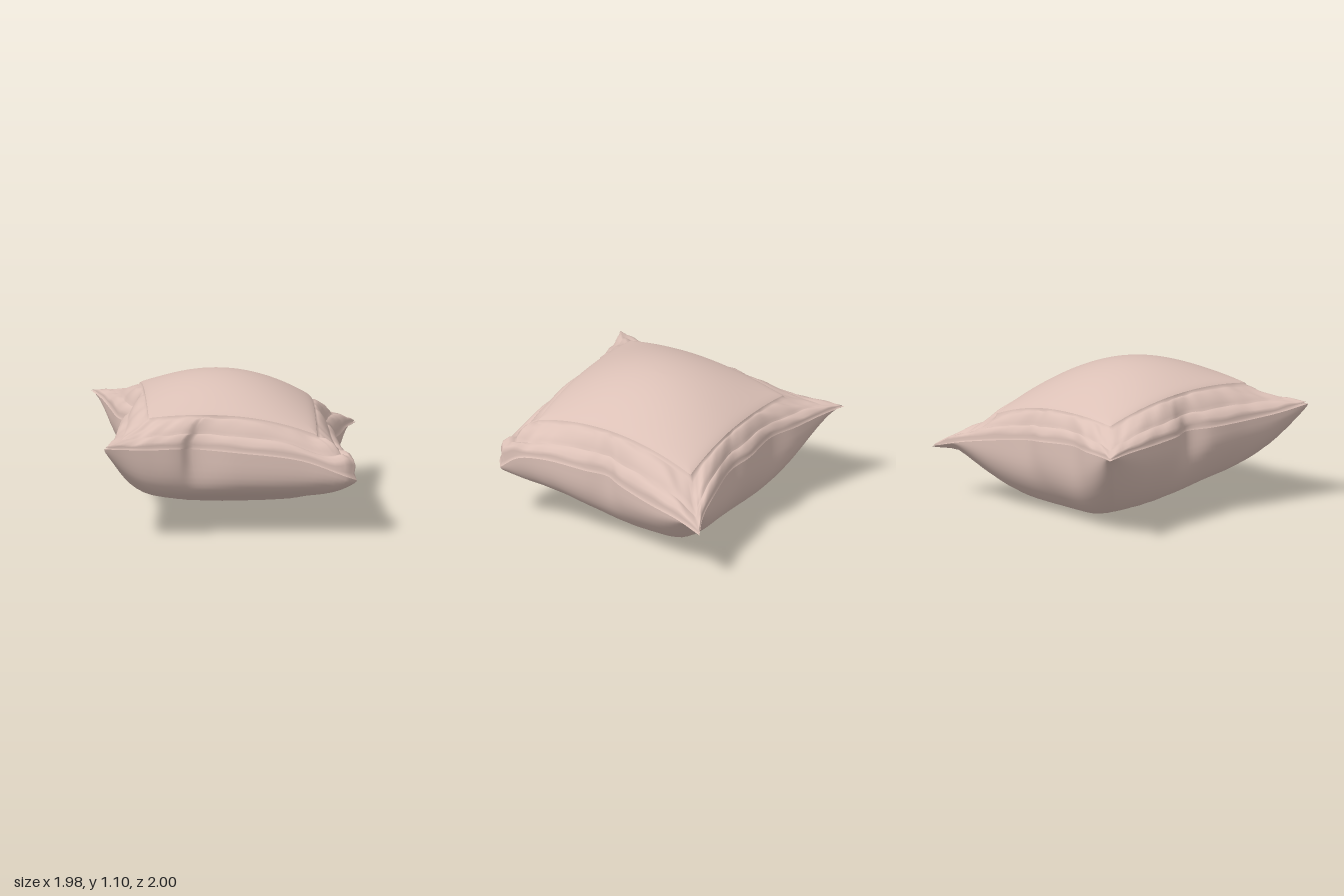
import * as THREE from 'three';

// Outer seam, one list of points per side, clockwise seen from above
const SEAM = [
  [[-0.99, 0.68, -1], [-0.8, 0.66, -0.92], [-0.55, 0.64, -0.85], [-0.33, 0.63, -0.78], [0, 0.6, -0.8],
    [0.2, 0.57, -0.77], [0.5, 0.52, -0.83], [0.8, 0.46, -0.91], [0.99, 0.41, -1]],
  [[0.99, 0.41, -1], [0.91, 0.44, -0.75], [0.85, 0.47, -0.45], [0.79, 0.52, -0.15], [0.76, 0.55, -0.03],
    [0.79, 0.56, 0.15], [0.82, 0.57, 0.5], [0.87, 0.55, 0.7], [0.91, 0.46, 0.83]],
  [[0.91, 0.46, 0.83], [0.83, 0.5, 0.88], [0.5, 0.62, 0.86], [0, 0.68, 0.82], [-0.32, 0.7, 0.77],
    [-0.42, 0.72, 0.84], [-0.65, 0.73, 0.9], [-0.85, 0.75, 0.95], [-0.99, 0.77, 1]],
  [[-0.99, 0.77, 1], [-0.93, 0.73, 0.78], [-0.88, 0.71, 0.5], [-0.83, 0.7, 0.18], [-0.75, 0.69, 0],
    [-0.83, 0.69, -0.18], [-0.87, 0.68, -0.45], [-0.92, 0.68, -0.75], [-0.99, 0.68, -1]],
];
// Corners of the raised panel, same order
const PANEL = [[-0.64, -0.68], [0.62, -0.68], [0.62, 0.68], [-0.64, 0.68]];
const STEPS = 56;

// Crown of the panel (fuller towards the left corners) and rest shape of the underside
const crown = (x, z) =>
  1.1 - 0.46 * (x + 0.1) ** 2 - 0.44 * (z - 0.08) ** 2 + (x < 0 ? 0.65 : 0.45) * x * x * z * z;
function floorHeight(x, z) {
  const d = z + 0.31;
  const sides = 0.52 * Math.abs(x - 0.07) ** 2.6;
  return d > 0 ? ((0.316 * d) ** 4 + sides ** 4) ** 0.25 : Math.hypot(0.9 * d * d, sides);
}

// Samples pairing a seam point with its panel edge point
function sampleOutline() {
  const out = [];
  SEAM.forEach((pts, k) => {
    const curve = new THREE.CatmullRomCurve3(pts.map((p) => new THREE.Vector3(...p)), false, 'centripetal');
    const axis = k % 2 ? 'z' : 'x';
    const start = curve.getPoint(0)[axis], end = curve.getPoint(1)[axis];
    const [a, b] = [PANEL[k], PANEL[(k + 1) % 4]];
    for (let i = 0; i < STEPS; i++) {
      const seam = curve.getPoint(i / STEPS);
      const f = (seam[axis] - start) / (end - start);
      const panel = new THREE.Vector3(a[0] + (b[0] - a[0]) * f, 0, a[1] + (b[1] - a[1]) * f);
      panel.y = crown(panel.x, panel.z) - 0.01;
      const fold = Math.exp(-((seam.x - 0.9) ** 2 + (seam.z - 0.85) ** 2) / 0.02);
      const corner = Math.abs(2 * f - 1) ** 4 * (1 - fold);
      const front = THREE.MathUtils.smoothstep(seam.z, 0.45, 0.8);
      out.push({ seam, panel, corner, fold, front, angle: (k + i / STEPS) * Math.PI / 2 });
    }
  });
  // Softened outline, free of the puckers, for the lower body
  out.forEach((o, i) => {
    o.soft = new THREE.Vector3();
    for (let d = -12; d <= 12; d++) o.soft.addScaledVector(out[(i + d + out.length) % out.length].seam, 1 / 25);
    o.soft.lerp(o.seam, o.corner);
  });
  return out;
}

// Joins closed loops of points into a smooth skin
function skin(loops) {
  const n = loops[0].length, index = [];
  for (let r = 0; r < loops.length - 1; r++) {
    for (let i = 0; i < n; i++) {
      const j = (i + 1) % n, a = r * n, b = a + n;
      index.push(a + i, a + j, b + i, a + j, b + j, b + i);
    }
  }
  const geometry = new THREE.BufferGeometry().setFromPoints(loops.flat());
  geometry.setIndex(index);
  geometry.computeVertexNormals();
  return geometry;
}

export function createModel() {
  const group = new THREE.Group();
  group.name = 'pillow';
  const fabric = new THREE.MeshStandardMaterial({ color: 0xdcc1b7, side: THREE.DoubleSide });
  fabric.name = 'blush fabric';
  const add = (name, loops) => {
    const mesh = new THREE.Mesh(skin(loops), fabric);
    mesh.name = name;
    group.add(mesh);
  };
  const outline = sampleOutline();

  // Domed centre panel, rounded down at its stitched edge
  const panelLoops = [];
  for (let r = 0; r <= 20; r++) {
    const s = Math.sin((r / 20) * Math.PI / 2);
    panelLoops.push(outline.map(({ panel }) => {
      const x = panel.x * s, z = panel.z * s;
      return new THREE.Vector3(x, crown(x, z) - 0.01 * s ** 30, z);
    }));
  }
  add('topPanel', panelLoops);

  // Two padded rolls between the panel and the seam: [outward, downward, wrinkle]
  const rolls = [[0, 0, 0], [0.03, 0.09, 0.2], [0.1, 0.08, 0.6], [0.25, 0.14, 1], [0.42, 0.27, 1],
    [0.56, 0.44, 0.8], [0.6, 0.54, 0.4], [0.64, 0.54, 0.6], [0.78, 0.6, 1], [0.92, 0.72, 1],
    [0.97, 0.84, 0.8], [0.93, 0.93, 0.3], [1, 1, 0]];
  add('paddedBorder', rolls.map(([outward, down, wrinkle], r) => outline.map((o) => {
    const p = o.panel.clone().lerp(o.seam, outward);
    // The rolls flatten towards the pinched corners
    const flat = 0.5 * o.corner * Math.min(1, outward / 0.3);
    p.y = THREE.MathUtils.lerp(o.panel.y, o.seam.y, down + (1 - down) * flat);
    // Gathered cloth and the tucked front corner
    const a = o.angle;
    const ripple = Math.sin(a * 24 + r * 0.5) + 0.7 * Math.sin(a * 41 - r * 0.9) + 0.5 * Math.sin(a * 11);
    p.y += wrinkle * (0.005 * ripple + 0.08 * o.fold * outward);
    return p;
  })));

  // Underside: steep walls below the seam running into the sagging base
  const under = [1, 0.995, 0.985, 0.97, 0.95, 0.925, 0.9, 0.87, 0.83, 0.78, 0.72, 0.65, 0.57, 0.48, 0.38, 0.28, 0.18, 0.09, 0];
  add('underside', under.map((s) => outline.map((o) => {
    const bulge = 0.8 * (1 - s) * Math.exp((s - 1) / 0.08) * (1 - o.corner);
    const p = o.soft.clone().lerp(o.seam, s ** 8);
    const x = p.x * (s + bulge), z = p.z * (s + bulge);
    const steep = 9 - 2 * o.corner + 6 * o.front * (1 - o.corner);
    const drop = (1 - s ** steep) ** (0.5 + 0.14 * o.corner);
    const base = Math.min(floorHeight(x, z), o.seam.y - 0.02);
    return new THREE.Vector3(x, THREE.MathUtils.lerp(p.y, base, drop), z);
  })));

  return group;
}
